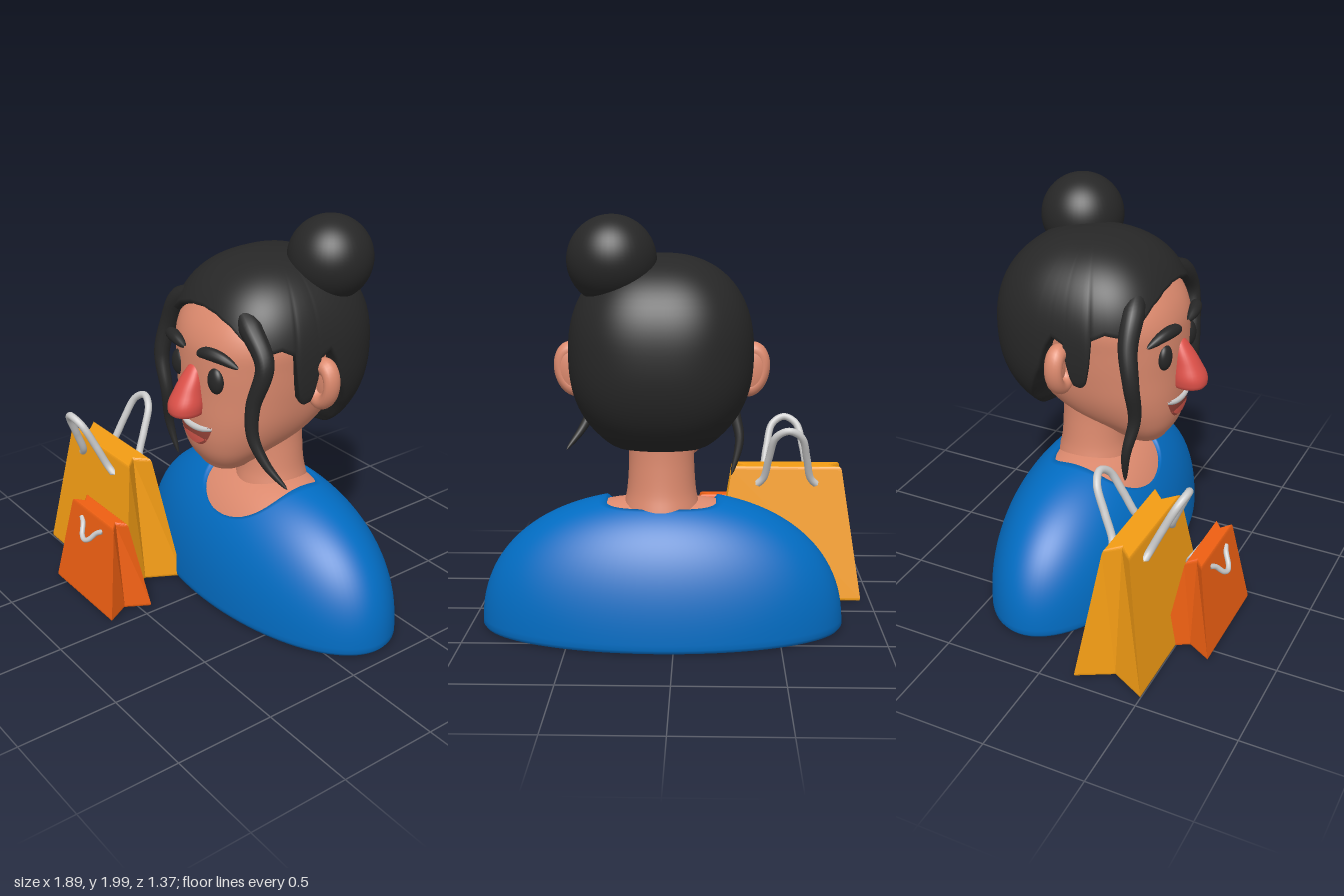
import * as THREE from 'three';

const CX = 0.065; // centre line of the bust
const SKIN = 0xdd8a6e, HAIR = 0x272727, BLUE = 0x026cc2, GOLD = 0xf39c14, ORANGE = 0xee5f12, GREY = 0xcccccc;
const V = (x, y, z) => new THREE.Vector3(x, y, z);

function mesh(name, geometry, color, side = THREE.FrontSide) {
  const m = new THREE.Mesh(geometry, new THREE.MeshStandardMaterial({ color, side }));
  m.name = name;
  return m;
}

// Surface from stacked rings; fn(angle, row) gives a point, angle 0 is the front
function rings(fn, segs, rows) {
  const pos = [], idx = [];
  for (let j = 0; j <= rows; j++)
    for (let i = 0; i < segs; i++) pos.push(...fn((i / segs) * Math.PI * 2, j));
  for (let j = 0; j < rows; j++)
    for (let i = 0; i < segs; i++) {
      const n = (i + 1) % segs, a = j * segs + i, b = j * segs + n;
      idx.push(a, b, b + segs, a, b + segs, a + segs);
    }
  const g = new THREE.BufferGeometry();
  g.setAttribute('position', new THREE.Float32BufferAttribute(pos, 3));
  g.setIndex(idx);
  g.computeVertexNormals();
  return g;
}

// Smooth rows of [y, halfWidth, zFront, zBack]
function sections(table) {
  const it = new THREE.CubicInterpolant(table.map(r => r[0]), table.flatMap(r => r.slice(1)), 3, new Float32Array(3));
  return y => Array.from(it.evaluate(y));
}
function loft(table, q, segs, rows) {
  const at = sections(table), y0 = table[0][0], y1 = table[table.length - 1][0];
  return rings((a, j) => {
    const y = y0 + (y1 - y0) * (1 - Math.cos((j / rows) * Math.PI)) / 2;
    const [w, zf, zb] = at(y), s = Math.sin(a), c = Math.cos(a);
    const r = (Math.abs(s) ** q + Math.abs(c) ** q) ** (-1 / q);
    return [CX + w * r * s, y, (zf + zb) / 2 + ((zf - zb) / 2) * r * c];
  }, segs, rows);
}

// Tube whose radius follows a rule along its path
function taper(points, radius, n = 48) {
  const curve = new THREE.CatmullRomCurve3(points);
  const g = new THREE.TubeGeometry(curve, n, 1, 14), p = g.attributes.position, v = V(0, 0, 0);
  for (let i = 0; i < p.count; i++) {
    const t = Math.floor(i / 15) / n, c = curve.getPointAt(t);
    v.fromBufferAttribute(p, i).sub(c).multiplyScalar(radius(t)).add(c);
    p.setXYZ(i, v.x, v.y, v.z);
  }
  return g;
}

function ball(name, color, c, r, segs = 32) {
  const m = mesh(name, new THREE.SphereGeometry(1, segs, segs * 0.75), color);
  m.position.set(...c);
  m.scale.set(...r);
  return m;
}

const HEAD = [
  [0.765, 0.01, 0.08, 0.06], [0.775, 0.08, 0.13, -0.01], [0.81, 0.14, 0.17, -0.08], [0.87, 0.2, 0.21, -0.17],
  [0.95, 0.265, 0.235, -0.36], [1.05, 0.315, 0.245, -0.48], [1.2, 0.35, 0.245, -0.55], [1.35, 0.37, 0.245, -0.57],
  [1.45, 0.38, 0.235, -0.57], [1.55, 0.36, 0.19, -0.55], [1.65, 0.29, 0.1, -0.48], [1.72, 0.18, -0.02, -0.38], [1.75, 0.01, -0.2, -0.22]];
const headAt = sections(HEAD);
function faceZ(dx, y) {
  const [w, zf, zb] = headAt(y);
  return (zf + zb) / 2 + ((zf - zb) / 2) * (1 - Math.abs(dx / w) ** 2.3) ** (1 / 2.3);
}

// Patch that follows the face between two curves lo(u) and hi(u), u from -1 to 1
function facePatch(name, color, w, lo, hi, lift) {
  const g = new THREE.PlaneGeometry(2, 1, 28, 6), p = g.attributes.position;
  for (let i = 0; i < p.count; i++) {
    const u = p.getX(i), v = p.getY(i) + 0.5, y = lo(u) + (hi(u) - lo(u)) * v;
    p.setXYZ(i, CX + u * w, y, faceZ(u * w, y) + lift);
  }
  g.computeVertexNormals();
  return mesh(name, g, color, THREE.DoubleSide);
}

function torso() {
  const g = new THREE.Group();
  g.name = 'torso';
  const dome = (a, phi, k = 1) => {
    const y = Math.sin(phi), f = Math.max(0, 1 - y ** 2.25) ** (1 / 2.25) * k;
    return [CX + 0.875 * f * Math.sin(a), 0.03 + 0.65 * k * y, -0.22 + 0.42 * f * Math.cos(a)];
  };
  // Neckline dips at the front
  const inNeck = (a, phi) => {
    const [x, y] = dome(a, phi), d = Math.max(0, 0.66 - y) / (0.095 + 0.07 * Math.cos(a));
    return ((x - CX) / 0.27) ** 2 + d * d < 1;
  };
  const collar = a => {
    let lo = 0, hi = Math.PI / 2;
    for (let i = 0; i < 24; i++) {
      const m = (lo + hi) / 2;
      if (inNeck(a, m)) hi = m; else lo = m;
    }
    return lo;
  };
  const N = 34;
  g.add(mesh('shirt', rings((a, j) => {
    const [x, y, z] = dome(a, 0, 0.985 - 0.045 * (j === 0));
    if (j < 2) return [x, y - 0.017, z];
    const end = collar(a);
    return j > N ? dome(a, end, 0.95) : dome(a, (end * (j - 2)) / (N - 2));
  }, 96, N + 1), BLUE, THREE.DoubleSide));
  g.add(mesh('chest', rings((a, j) => dome(a, (j / 24) * Math.PI / 2, 0.968), 72, 24), SKIN));
  const base = mesh('torsoBase', new THREE.CircleGeometry(1, 72).rotateX(Math.PI / 2).scale(0.835, 1, 0.4), SKIN);
  base.position.set(CX, 0.02, -0.22);
  g.add(base);
  const profile = [[0.2, 0.55], [0.18, 0.63], [0.165, 0.7], [0.157, 0.8], [0.155, 0.9], [0.16, 1.1]].map(p => new THREE.Vector2(...p));
  const neck = mesh('neck', new THREE.LatheGeometry(new THREE.SplineCurve(profile).getPoints(20), 40), SKIN);
  neck.position.set(CX, 0, -0.24);
  g.add(neck);
  return g;
}

function hair() {
  const g = new THREE.Group();
  g.name = 'hair';
  // Hairline height by angle from the front: fringe, sideburn, ear gap, nape
  const line = [[0, 1.62], [14, 1.61], [27, 1.575], [38, 1.51], [47, 1.46], [58, 1.48], [66, 1.45], [69, 1.23], [73, 1.19], [78, 1.2],
    [81, 1.26], [84, 1.41], [92, 1.44], [97, 1.38], [102, 1.26], [112, 1.13], [118, 1.07], [125, 1.0], [132, 0.955], [142, 0.94], [180, 0.935]];
  const it = new THREE.LinearInterpolant(line.map(l => l[0]), line.map(l => l[1]), 1, new Float32Array(1));
  const p = 2.3, q = 2.5, N = 36;
  g.add(mesh('hairCap', rings((a, j) => {
    const deg = (Math.min(a, Math.PI * 2 - a) * 180) / Math.PI, s = Math.sin(a), c = Math.cos(a);
    const dy0 = it.evaluate(deg)[0] - 1.36, phi0 = Math.asin(dy0 / (dy0 > 0 ? 0.46 : 0.49));
    const phi = phi0 + (Math.PI / 2 - phi0) * Math.max(0, (j - 3) / (N - 3));
    const f = Math.max(0, 1 - Math.abs(Math.sin(phi)) ** p) ** (1 / p) * (j < 3 ? [0.7, 0.9, 0.97][j] : 1);
    const r = f * (Math.abs(s / 0.435) ** q + Math.abs(c / 0.465) ** q) ** (-1 / q);
    const y = 1.36 + Math.sin(phi) * (phi > 0 ? 0.46 : 0.49) - (j < 3 ? [0, 0.014, 0.01][j] : 0);
    return [CX + r * s, y, -0.22 + r * c];
  }, 180, N), HAIR, THREE.DoubleSide));
  g.add(ball('bun', HAIR, [0.283, 1.795, -0.398], [0.205, 0.205, 0.205], 48));
  // Loose locks framing the face
  const lock = t => 0.062 * Math.min(1, Math.sqrt(t * 8)) * (1 - t) ** 0.55 * (1 - 0.15 * Math.sin(t * Math.PI)) + 0.001;
  const locks = {
    rightLock: [[-0.1, 1.63, 0.09], [-0.22, 1.555, 0.115], [-0.295, 1.42, 0.125], [-0.325, 1.25, 0.155], [-0.285, 1.05, 0.155], [-0.315, 0.87, 0.125], [-0.275, 0.69, 0.1]],
    leftLock: [[0.23, 1.63, 0.09], [0.35, 1.56, 0.115], [0.45, 1.43, 0.12], [0.412, 1.22, 0.155], [0.415, 1.07, 0.155], [0.47, 0.94, 0.12], [0.555, 0.825, 0.06]],
  };
  for (const [name, pts] of Object.entries(locks)) g.add(mesh(name, taper(pts.map(v => V(...v)), lock, 64), HAIR));
  return g;
}

function head() {
  const g = new THREE.Group();
  g.name = 'head';
  g.add(mesh('face', loft(HEAD, 2.3, 72, 56), SKIN));
  g.add(mesh('nose', loft([[1.085, 0.02, 0.31, 0.2], [1.095, 0.058, 0.35, 0.2], [1.13, 0.08, 0.372, 0.2], [1.22, 0.067, 0.335, 0.2],
    [1.3, 0.046, 0.28, 0.2], [1.335, 0.026, 0.25, 0.2], [1.345, 0.004, 0.235, 0.22]], 2.2, 32, 24), 0xdd5048));
  for (const s of [1, -1]) {
    const side = s > 0 ? 'left' : 'right';
    g.add(ball(side + 'Eye', HAIR, [CX + s * 0.145, 1.298, 0.215], [0.049, 0.066, 0.033]));
    const brow = [[0.052, 1.412, 0.25], [0.12, 1.437, 0.25], [0.2, 1.43, 0.225], [0.268, 1.39, 0.18]];
    g.add(mesh(side + 'Brow', taper(brow.map(b => V(CX + s * b[0], b[1], b[2])),
      t => 0.036 * Math.sqrt(Math.sin(Math.PI * (0.01 + 0.98 * t))) * (1 - 0.3 * t)), HAIR));
    // Ear with a thick rounded rim
    const ear = new THREE.Group();
    ear.name = side + 'Ear';
    ear.add(ball('earPad', SKIN, [0, 0, -0.018], [0.084, 0.125, 0.034]));
    const rim = mesh('earRim', new THREE.TorusGeometry(0.062, 0.03, 16, 40), SKIN);
    rim.scale.set(1, 1.45, 1.5);
    ear.add(rim);
    ear.position.set(CX + s * 0.42, 1.272, -0.2);
    ear.rotation.z = -s * 0.18;
    g.add(ear);
  }
  // Open smile
  const top = u => 1.034 + 0.016 * u * u, bottom = u => 0.932 + 0.1 * Math.abs(u) ** 3;
  g.add(facePatch('mouth', 0x98453a, 0.125, bottom, top, 0.004));
  g.add(facePatch('tongue', 0xe05c50, 0.095, u => 0.936 + 0.05 * u * u, u => 0.985 - 0.012 * u ** 4, 0.009));
  g.add(mesh('teeth', taper([-1, -0.5, 0, 0.5, 1].map(u => V(CX + u * 0.127, top(u) - 0.01, faceZ(u * 0.127, 1.02))),
    t => 0.017 * Math.sin(Math.PI * (0.04 + 0.92 * t)) ** 0.4), GREY));
  return g;
}

// Tapered paper bag with folded-in sides and a pair of handles
function bag(name, color, [x, z], h, [wb, wt], [db, dt], fold, handle, r) {
  const g = new THREE.Group(), b = 0.017;
  g.name = name;
  const w = wb - b, d = db - b;
  const shape = new THREE.Shape([[w, -d], [w - fold, 0], [w, d], [-w, d], [-w + fold, 0], [-w, -d]].map(p => new THREE.Vector2(...p)));
  const geo = new THREE.ExtrudeGeometry(shape, { depth: h - 2 * b, steps: 1, bevelSize: b, bevelThickness: b, bevelSegments: 4 });
  geo.rotateX(-Math.PI / 2).translate(0, b, 0);
  const p = geo.attributes.position;
  for (let i = 0; i < p.count; i++) {
    const t = p.getY(i) / h;
    p.setX(i, p.getX(i) * (1 + (wt / wb - 1) * t));
    p.setZ(i, p.getZ(i) * (1 + (dt / db - 1) * t));
  }
  geo.computeVertexNormals();
  g.add(mesh('paperBag', geo, color));
  for (const s of [1, -1]) {
    const half = handle.map(([hx, hy, hz]) => V(hx, hy, s * hz));
    const path = [...half, ...half.slice(0, -1).reverse().map(v => V(-v.x, v.y, v.z))];
    g.add(mesh(s > 0 ? 'frontHandle' : 'backHandle', taper(path, t => (t === 0 || t === 1 ? 0.001 : r), 60), GREY));
  }
  g.position.set(x, 0.01, z);
  return g;
}

export function createModel() {
  const model = new THREE.Group();
  model.name = 'shopperBust';
  model.add(torso(), head(), hair());
  model.add(bag('largeBag', GOLD, [-0.565, 0.33], 0.69, [0.383, 0.28], [0.178, 0.067], 0.09,
    [[-0.16, 0.595, 0.08], [-0.122, 0.635, 0.095], [-0.097, 0.75, 0.145], [-0.064, 0.87, 0.2], [0, 0.905, 0.22]], 0.019));
  model.add(bag('smallBag', ORANGE, [-0.311, 0.563], 0.477, [0.267, 0.194], [0.125, 0.042], 0.065,
    [[-0.1, 0.42, 0.048], [-0.065, 0.4, 0.064], [-0.03, 0.357, 0.092], [0, 0.346, 0.1]], 0.013));
  return model;
}
